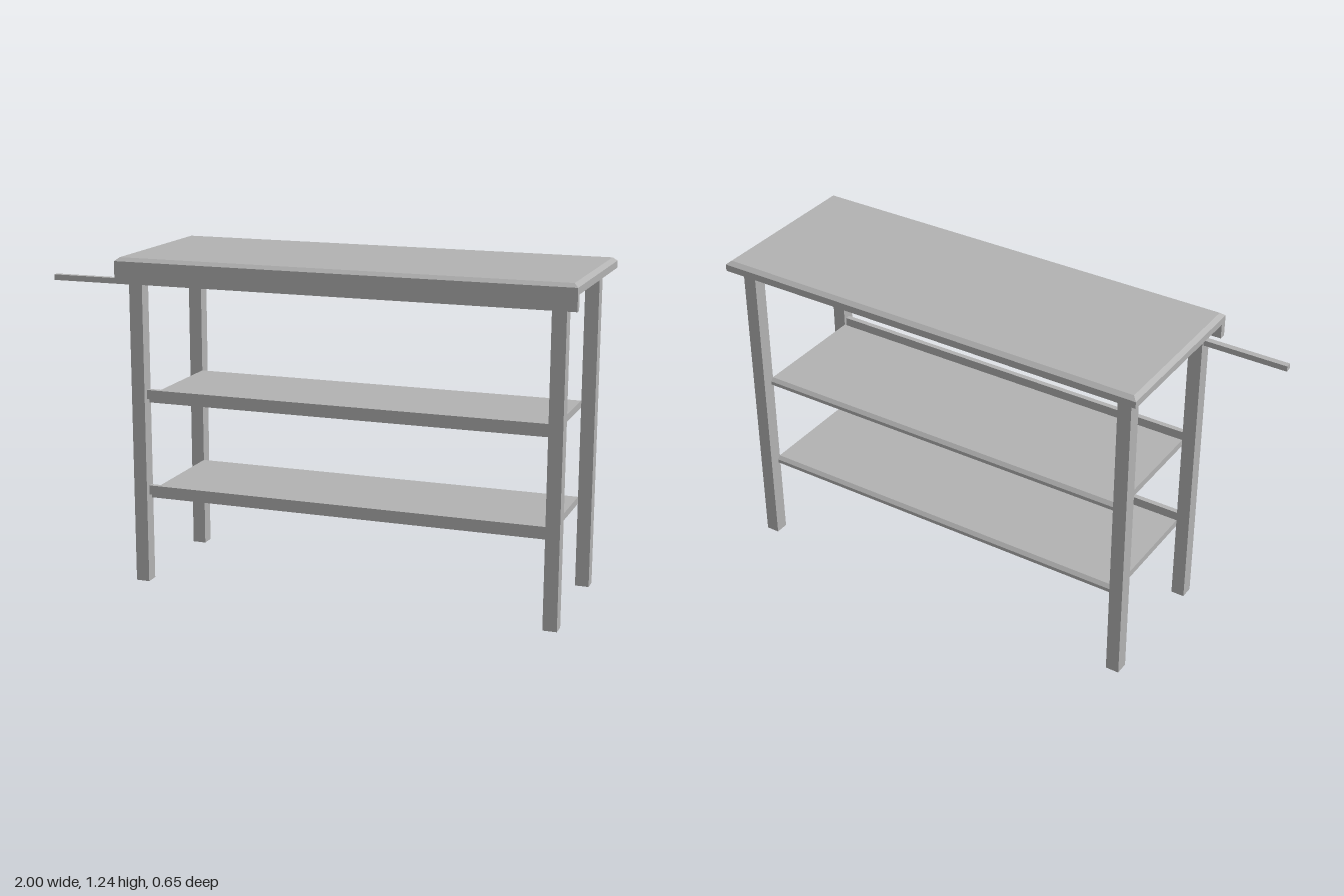
import * as THREE from 'three';

export function createModel() {
  const model = new THREE.Group();
  model.name = 'workTable';
  const grey = new THREE.MeshStandardMaterial({ color: 0xb2b2b2 });
  grey.name = 'plain grey';

  const add = (name, geometry) => {
    const mesh = new THREE.Mesh(geometry, grey);
    mesh.name = name;
    model.add(mesh);
  };

  // Box given by its limits on each axis
  const block = (name, x0, x1, y0, y1, z0, z1) =>
    add(name, new THREE.BoxGeometry(x1 - x0, y1 - y0, z1 - z0)
      .translate((x0 + x1) / 2, (y0 + y1) / 2, (z0 + z1) / 2));

  // Board with a chamfer around its upper edge: insetX, insetZ wide, drop high
  const board = (name, x0, x1, y0, y1, z0, z1, insetX, insetZ, drop) => {
    const w = x1 - x0, h = y1 - y0, d = z1 - z0;
    const box = new THREE.BoxGeometry(w, h, d, 1, 2, 1);
    const p = box.attributes.position;
    for (let i = 0; i < p.count; i++) {
      const y = p.getY(i);
      if (y > h / 4) {
        p.setX(i, Math.sign(p.getX(i)) * (w / 2 - insetX));
        p.setZ(i, Math.sign(p.getZ(i)) * (d / 2 - insetZ));
      } else if (y > -h / 4) {
        p.setY(i, h / 2 - drop);
      }
    }
    const geometry = box.toNonIndexed();
    geometry.computeVertexNormals();
    geometry.translate((x0 + x1) / 2, (y0 + y1) / 2, (z0 + z1) / 2);
    add(name, geometry);
  };

  // Top and the deep lip along its front
  board('tableTop', -0.718, 1, 1.204, 1.243, -0.327, 0.327, 0.016, 0.016, 0.013);
  block('frontLip', -0.718, 1, 1.148, 1.204, 0.301, 0.327);

  // Four square legs
  for (const [side, x] of [['right', -0.68], ['left', 0.904]]) {
    block(side + 'FrontLeg', x, x + 0.052, 0, 1.204, 0.234, 0.286);
    block(side + 'BackLeg', x, x + 0.052, 0, 1.204, -0.283, -0.231);
  }

  // Two shelves, each with a raised rail along the front
  for (const [name, y] of [['lower', 0.322], ['upper', 0.691]]) {
    board(name + 'Shelf', -0.628, 0.904, y, y + 0.027, -0.243, 0.246, 0, 0.012, 0.013);
    block(name + 'ShelfRail', -0.628, 0.904, y + 0.017, y + 0.052, 0.246, 0.266);
  }

  // Bar sticking out at the right end
  block('sideBar', -1, -0.67, 1.136, 1.157, 0.244, 0.267);

  return model;
}
